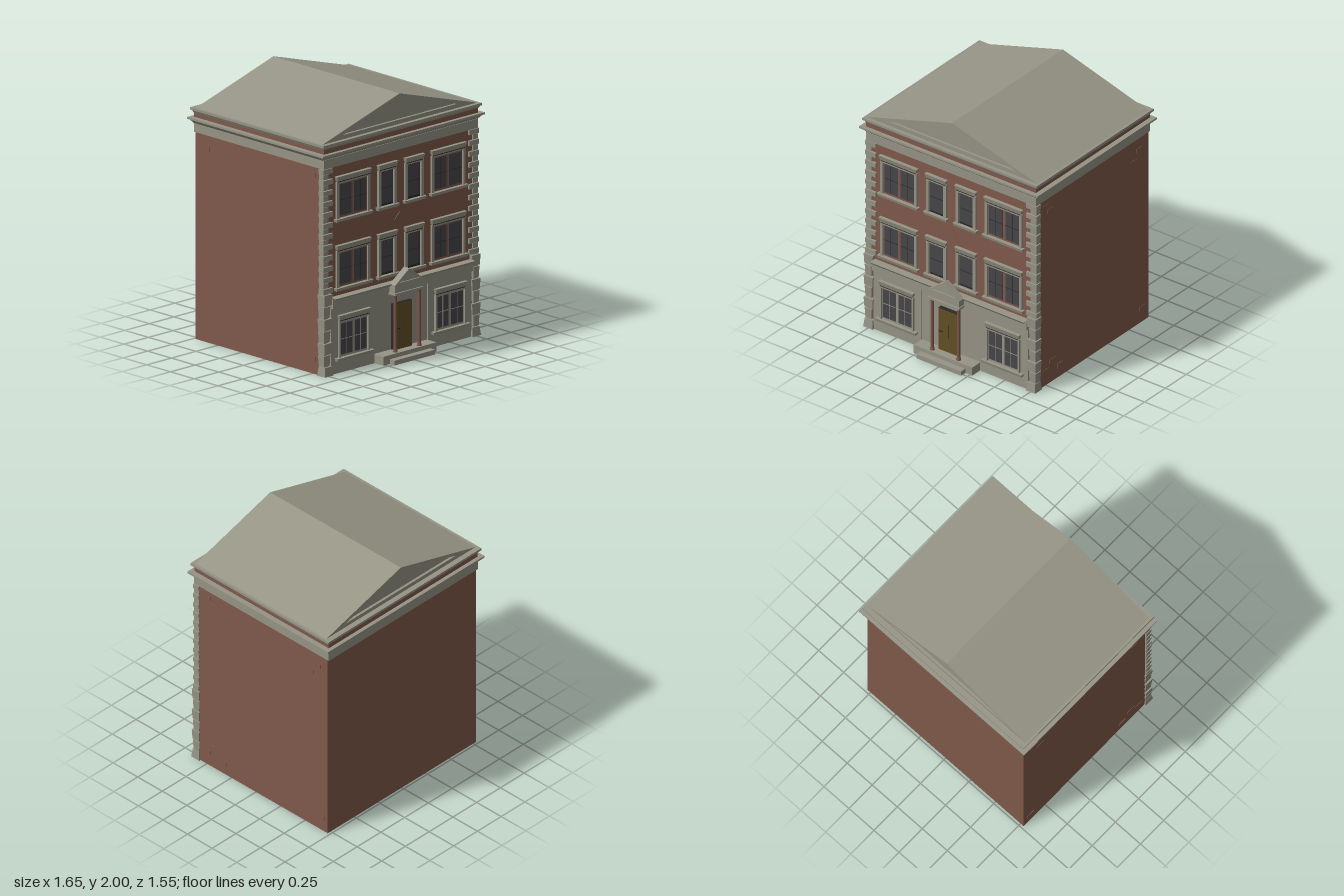
import * as THREE from 'three';

const mat = (name, color, side = THREE.FrontSide) => {
  const m = new THREE.MeshStandardMaterial({ color, side });
  m.name = name;
  return m;
};

export function createModel() {
  const root = new THREE.Group();
  root.name = 'townhouse';
  const stone = mat('stone', 0x969485);
  const brick = mat('brick', 0x80594b);
  const glass = mat('glass', 0x47474a);
  const wood = mat('doorWood', 0x634f26);
  const dark = mat('darkTrim', 0x2c2a28);

  const WALL = 0.61, BACK = -0.73, MID = (WALL + BACK) / 2;

  const add = (parent, name, geo, m) => {
    const mesh = new THREE.Mesh(geo, m);
    mesh.name = name;
    parent.add(mesh);
    return mesh;
  };
  // Box given by its limits
  const box = (parent, name, m, x0, x1, y0, y1, z0, z1) => {
    const mesh = add(parent, name, new THREE.BoxGeometry(x1 - x0, y1 - y0, z1 - z0), m);
    mesh.position.set((x0 + x1) / 2, (y0 + y1) / 2, (z0 + z1) / 2);
    return mesh;
  };
  // Box whose lower face is drawn in by g on every side (negative g flares the foot)
  const flared = (parent, name, m, x0, x1, y0, y1, z0, z1, g) => {
    const mesh = box(parent, name, m, x0, x1, y0, y1, z0, z1);
    const p = mesh.geometry.attributes.position;
    for (let i = 0; i < p.count; i++) {
      if (p.getY(i) < 0) {
        p.setX(i, p.getX(i) - Math.sign(p.getX(i)) * g);
        p.setZ(i, p.getZ(i) - Math.sign(p.getZ(i)) * g);
      }
    }
    mesh.geometry = mesh.geometry.toNonIndexed();
    mesh.geometry.computeVertexNormals();
    return mesh;
  };
  // Triangular prism, optionally with a triangular opening
  const gable = (parent, name, m, half, y0, y1, z0, z1, hole) => {
    const s = new THREE.Shape([[-half, y0], [half, y0], [0, y1]].map(a => new THREE.Vector2(...a)));
    if (hole) s.holes.push(new THREE.Path(
      [[-hole[0], hole[1]], [0, hole[2]], [hole[0], hole[1]]].map(a => new THREE.Vector2(...a))));
    const geo = new THREE.ExtrudeGeometry(s, { depth: z1 - z0, bevelEnabled: false });
    geo.translate(0, 0, z0);
    return add(parent, name, geo, m);
  };

  // Main brick body
  box(root, 'brickBody', brick, -0.78, 0.78, 0, 1.73, BACK, WALL);

  // Frieze, cornices and the brick band between them
  const ring = (name, m, hx, hz, y0, y1, g = 0) =>
    flared(root, name, m, -hx, hx, y0, y1, MID - hz, MID + hz, g);
  ring('frieze', stone, 0.785, 0.685, 1.58, 1.65);
  ring('lowerCornice', stone, 0.815, 0.705, 1.65, 1.68, 0.025);
  ring('lowerCorniceLip', stone, 0.825, 0.715, 1.68, 1.695);
  ring('brickBand', brick, 0.784, 0.684, 1.695, 1.73);
  ring('upperCornice', stone, 0.8, 0.695, 1.725, 1.75, 0.014);
  ring('upperCorniceLip', stone, 0.806, 0.702, 1.75, 1.768);

  // Gabled roof with recessed panels at both ends
  gable(root, 'roof', stone, 0.785, 1.768, 2, BACK + 0.03, WALL - 0.02);
  for (const [z0, z1] of [[WALL - 0.02, WALL], [BACK + 0.01, BACK + 0.03]])
    gable(root, 'pedimentFrame', stone, 0.785, 1.768, 2, z0, z1, [0.58, 1.8, 1.968]);

  // Corner quoins, small above and heavy at street level
  for (const s of [-1, 1]) {
    const corner = new THREE.Group();
    corner.name = s > 0 ? 'leftQuoins' : 'rightQuoins';
    root.add(corner);
    const block = (name, inner, outer, y0, y1, z0, z1, g) =>
      flared(corner, name, stone, Math.min(s * inner, s * outer), Math.max(s * inner, s * outer), y0, y1, z0, z1, g);
    const n = 23, h = (1.58 - 0.625) / n;
    for (let i = 0; i < n; i++) {
      const wide = i % 2 === 0, y = 0.625 + i * h;
      block('quoin', wide ? 0.695 : 0.735, wide ? 0.792 : 0.787, y + 0.002, y + h - 0.002,
        0.574, wide ? 0.628 : 0.622, 0);
    }
    block('quoinBacking', 0.735, 0.784, 0.05, 0.625, 0.572, 0.624, 0);
    const m = 6, H = (0.625 - 0.07) / m;
    for (let i = 0; i < m; i++) {
      const wide = i % 2 === 1, y = 0.07 + i * H;
      block('heavyQuoin', wide ? 0.71 : 0.727, wide ? 0.795 : 0.79, y + 0.005, y + H - 0.005,
        0.568, wide ? 0.64 : 0.634, 0.004);
    }
    block('quoinFoot', 0.715, 0.787, 0, 0.07, 0.572, 0.637, -0.008);
  }

  // Street-level stone facing and ledge
  box(root, 'centreFacing', stone, -0.27, 0.27, 0, 0.51, WALL - 0.02, 0.619);
  for (const s of [-1, 1])
    box(root, 'sideFacing', stone, s > 0 ? 0.27 : -0.715, s > 0 ? 0.715 : -0.27, 0, 0.51, WALL - 0.02, 0.627);
  box(root, 'ledgeFascia', stone, -0.712, 0.712, 0.505, 0.575, WALL - 0.02, 0.645);
  flared(root, 'ledge', stone, -0.712, 0.712, 0.57, 0.588, WALL - 0.04, 0.675, 0.012);

  // Windows: stone surround, flared lintel, sill, sash and panes
  const makeWindow = (name, cx, y0, z, { outer, inner, height, double, sash, bars, sillHalf }) => {
    const g = new THREE.Group();
    g.name = name;
    g.position.set(cx, y0, z);
    root.add(g);
    const top = 0.025 + height;
    box(g, 'sash', sash, -inner, inner, 0.02, top, -0.01, 0.003);
    for (const s of [-1, 1])
      box(g, 'jamb', stone, s > 0 ? inner : -outer, s > 0 ? outer : -inner, 0.01, top + 0.012, -0.01, 0.018);
    box(g, 'head', stone, -outer, outer, top, top + 0.014, -0.01, 0.018);
    flared(g, 'lintel', stone, -outer - 0.006, outer + 0.006, top + 0.018, top + 0.056, -0.02, 0.03, 0.01);
    box(g, 'lintelShadow', dark, -outer + 0.008, outer - 0.008, top + 0.012, top + 0.018, -0.01, 0.02);
    flared(g, 'sill', stone, -sillHalf, sillHalf, 0, 0.023, -0.02, 0.034, 0.006);
    const cols = double ? [[-inner + 0.009, -0.013], [0.013, inner - 0.009]] : [[-inner + 0.005, inner - 0.005]];
    for (const [a, b] of cols) {
      const p0 = 0.04, p1 = top - 0.012, mid = (p0 + p1) / 2, c = (a + b) / 2;
      box(g, 'pane', glass, a, b, p0, p1, -0.002, 0.006);
      box(g, 'crossRail', bars, a, b, mid - 0.002, mid + 0.002, 0, 0.009);
      if (double) box(g, 'glazingBar', bars, c - 0.0015, c + 0.0015, p0, p1, 0, 0.009);
    }
  };
  const large = { outer: 0.17, inner: 0.147, height: 0.265, double: true, sash: brick, bars: dark, sillHalf: 0.188 };
  const small = { outer: 0.092, inner: 0.067, height: 0.265, double: false, sash: dark, bars: dark, sillHalf: 0.108 };
  const street = { outer: 0.155, inner: 0.14, height: 0.265, double: true, sash: stone, bars: stone, sillHalf: 0.188 };
  for (const s of [-1, 1]) {
    for (const y of [0.627, 1.154]) {
      makeWindow('largeWindow', s * 0.484, y, WALL, large);
      makeWindow('smallWindow', s * 0.137, y, WALL, small);
    }
    makeWindow('streetWindow', s * 0.49, 0.097, 0.627, street);
  }

  // Brick diamond on the front
  const diamond = box(root, 'brickDiamond', brick, -0.037, 0.037, 1.013, 1.087, WALL - 0.004, WALL + 0.005);
  diamond.rotation.z = Math.PI / 4;

  // Entrance steps
  box(root, 'upperStep', stone, -0.27, 0.27, 0, 0.068, WALL, 0.72);
  box(root, 'lowerStep', stone, -0.206, 0.206, 0, 0.036, WALL, 0.772);

  // Door with planks' seam and handle
  box(root, 'doorFrame', dark, -0.094, 0.086, 0.068, 0.418, WALL, 0.65);
  box(root, 'door', wood, -0.09, 0.082, 0.068, 0.413, WALL, 0.655);
  box(root, 'doorSeam', dark, -0.003, 0.0, 0.19, 0.3, 0.65, 0.657);
  box(root, 'doorHandle', dark, -0.085, -0.05, 0.225, 0.232, 0.65, 0.664);

  // Portico: columns, entablature and small pediment
  for (const s of [-1, 1]) {
    const col = new THREE.Group();
    col.name = 'column';
    col.position.set(s * 0.122, 0, 0.69);
    root.add(col);
    const drum = (name, r0, r1, y0, y1) => {
      add(col, name, new THREE.CylinderGeometry(r1, r0, y1 - y0, 12), brick).position.y = (y0 + y1) / 2;
    };
    drum('columnBase', 0.019, 0.016, 0.068, 0.085);
    drum('columnShaft', 0.014, 0.012, 0.085, 0.485);
    drum('columnCapital', 0.013, 0.018, 0.485, 0.505);
  }
  box(root, 'porticoSoffit', stone, -0.145, 0.143, 0.503, 0.52, WALL, 0.715);
  box(root, 'porticoBeam', stone, -0.135, 0.135, 0.52, 0.585, WALL, 0.702);
  gable(root, 'porticoPediment', stone, 0.145, 0.583, 0.688, 0.655, 0.703);
  gable(root, 'porticoPedimentFrame', stone, 0.145, 0.583, 0.688, 0.703, 0.714, [0.105, 0.596, 0.672]);

  // Scattered raised bricks on the side walls
  for (const s of [-1, 1])
    for (const [z, y] of [[0.5, 1.5], [0.45, 1.45], [-0.62, 1.46], [-0.55, 1.38], [0.5, 0.1], [0.42, 0.16], [0.33, 0.08], [-0.66, 0.1]])
      box(root, 'raisedBrick', brick, s * 0.78 - 0.003, s * 0.78 + 0.003, y, y + 0.035, z - 0.035, z + 0.035);

  return root;
}
